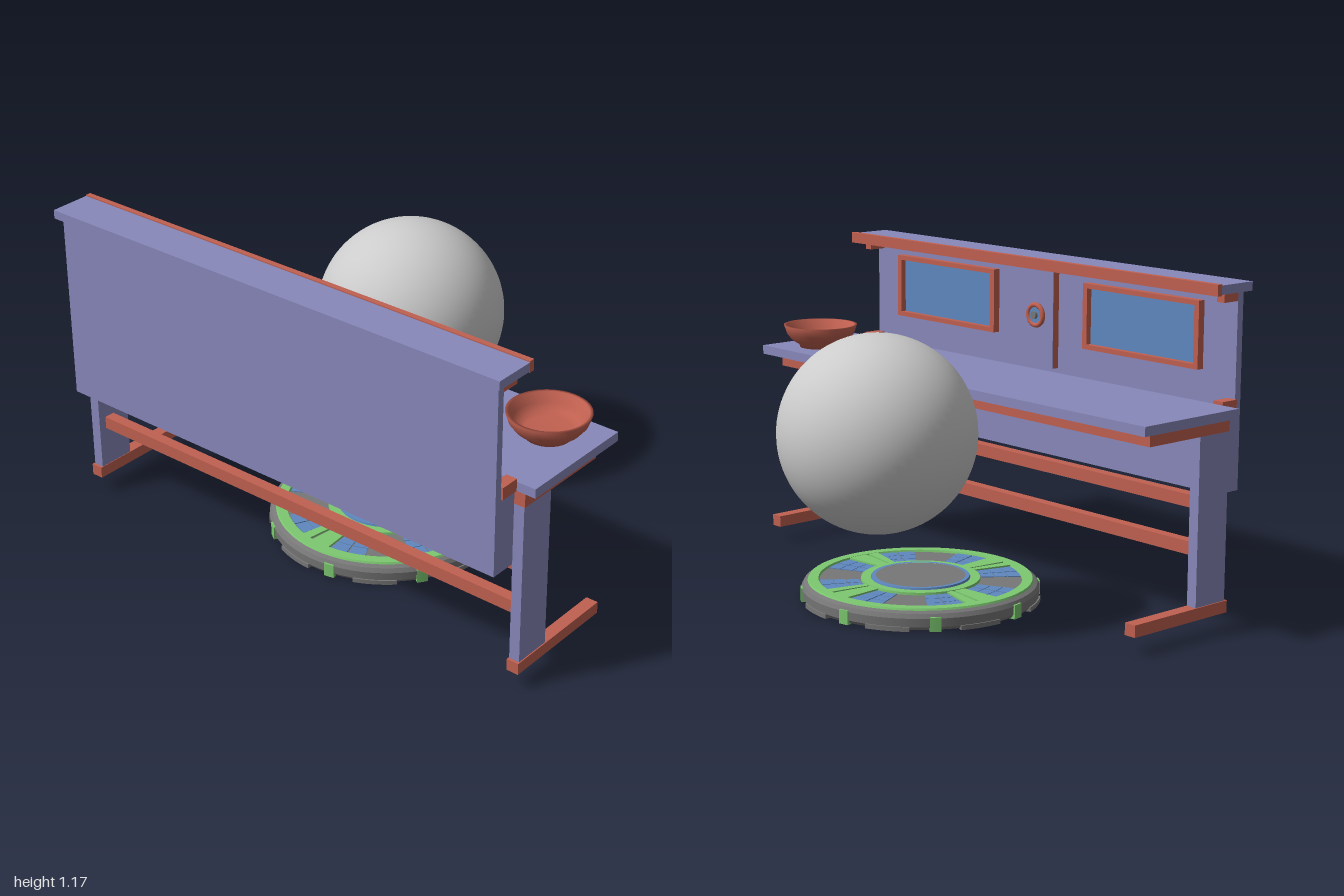
import * as THREE from 'three';

const paint = (color) => new THREE.MeshStandardMaterial({ color });

export function createModel() {
  const model = new THREE.Group();
  const purple = paint(0x8888bb), red = paint(0xc06050), blue = paint(0x5f88c0);
  const green = paint(0x7cc870), dark = paint(0x777777), grey = paint(0xcccccc);
  const bowlRed = paint(0xc06050);
  bowlRed.side = THREE.DoubleSide;

  const add = (name, geometry, material, parent = model) => {
    const mesh = new THREE.Mesh(geometry, material);
    mesh.name = name;
    parent.add(mesh);
    return mesh;
  };
  // Box given by its extents on each axis
  const box = (name, material, [x0, x1], [y0, y1], [z0, z1], parent) => {
    const mesh = add(name, new THREE.BoxGeometry(x1 - x0, y1 - y0, z1 - z0), material, parent);
    mesh.position.set((x0 + x1) / 2, (y0 + y1) / 2, (z0 + z1) / 2);
    return mesh;
  };
  // The same box at both ends of the bench
  const pair = (name, material, x, y, [z0, z1], parent) => {
    box(name, material, x, y, [z0, z1], parent);
    box(name, material, x, y, [-z1, -z0], parent);
  };

  // Counter and its supports
  const bench = new THREE.Group();
  bench.name = 'bench';
  model.add(bench);
  box('counterTop', purple, [-0.53, -0.087], [0.73, 0.763], [-1, 1], bench);
  pair('crossBeam', red, [-0.53, -0.15], [0.682, 0.73], [0.92, 0.963], bench);
  box('frontRail', red, [-0.19, -0.15], [0.682, 0.73], [-0.92, 0.92], bench);
  pair('leg', purple, [-0.53, -0.39], [0.1, 0.682], [0.922, 0.961], bench);
  pair('foot', red, [-0.54, -0.097], [0.06, 0.102], [0.92, 0.965], bench);
  box('upperStretcher', red, [-0.5, -0.46], [0.415, 0.459], [-0.922, 0.922], bench);
  box('lowerStretcher', red, [-0.5, -0.46], [0.252, 0.298], [-0.922, 0.922], bench);

  // Back wall and its cap shelf
  const back = new THREE.Group();
  back.name = 'back';
  model.add(back);
  box('backPanel', purple, [-0.626, -0.6], [0.46, 1.135], [-0.922, 0.922], back);
  box('lowerPanel', purple, [-0.6, -0.53], [0.46, 0.73], [-0.922, 0.922], back);
  box('capShelf', purple, [-0.648, -0.498], [1.135, 1.166], [-0.941, 0.941], back);
  box('capTrim', red, [-0.498, -0.478], [1.131, 1.17], [-0.941, 0.941], back);
  pair('upperBracket', red, [-0.6, -0.533], [1.103, 1.135], [0.89, 0.922], back);
  pair('lowerBracket', red, [-0.6, -0.53], [0.73, 0.774], [0.89, 0.93], back);
  box('centreBoard', red, [-0.6, -0.574], [0.763, 1.135], [-0.083, 0.083], back);
  box('centreBoardFace', purple, [-0.574, -0.572], [0.763, 1.135], [-0.083, 0.083], back);

  // Framed windows
  for (const side of [1, -1]) {
    const frame = new THREE.Shape();
    frame.moveTo(-0.273, -0.117).lineTo(0.273, -0.117).lineTo(0.273, 0.117).lineTo(-0.273, 0.117).closePath();
    const hole = new THREE.Path();
    hole.moveTo(-0.252, -0.1).lineTo(-0.252, 0.1).lineTo(0.252, 0.1).lineTo(0.252, -0.1).closePath();
    frame.holes.push(hole);
    const geometry = new THREE.ExtrudeGeometry(frame, { depth: 0.027, bevelEnabled: false }).rotateY(Math.PI / 2);
    add('windowFrame', geometry, red, back).position.set(-0.6, 0.973, side * 0.503);
    box('windowPane', blue, [-0.6, -0.594], [0.87, 1.075], [side * 0.503 - 0.255, side * 0.503 + 0.255], back);
  }

  // Round porthole on the centre board
  const porthole = add('portholeRing', new THREE.TorusGeometry(0.037, 0.009, 10, 32).rotateY(Math.PI / 2), red, back);
  porthole.position.set(-0.565, 0.95, 0);
  const glass = add('portholeGlass', new THREE.CylinderGeometry(0.034, 0.034, 0.01, 32).rotateZ(Math.PI / 2), blue, back);
  glass.position.set(-0.567, 0.95, 0);
  const stud = add('portholeStud', new THREE.CylinderGeometry(0.014, 0.014, 0.016, 16).rotateZ(Math.PI / 2), dark, back);
  stud.position.set(-0.56, 0.95, 0);

  // Bowl on the counter
  const profile = [[0, 0.763], [0.078, 0.763], [0.082, 0.774], [0.108, 0.79], [0.128, 0.815], [0.139, 0.848],
    [0.128, 0.848], [0.115, 0.815], [0.098, 0.796], [0.076, 0.785], [0, 0.785]];
  add('bowl', new THREE.LatheGeometry(profile.map(([r, y]) => new THREE.Vector2(r, y)), 48), bowlRed)
    .position.set(-0.239, 0, 0.838);

  // Ball
  add('ball', new THREE.SphereGeometry(0.336, 64, 48), grey).position.set(0.309, 0.661, -0.158);

  // Round platform
  const platform = new THREE.Group();
  platform.name = 'platform';
  platform.position.x = -0.018;
  model.add(platform);
  const lathe = (name, points, material) => {
    // Each segment is turned on its own so the edges stay sharp
    for (let i = 0; i + 1 < points.length; i++) {
      const pts = [points[i], points[i + 1]].map(([r, y]) => new THREE.Vector2(r, y));
      add(name, new THREE.LatheGeometry(pts, 64), material, platform);
    }
  };
  lathe('platformBase', [[0, 0.004], [0.41, 0.004]], green);
  lathe('platformRim', [[0.41, 0.004], [0.418, 0.015], [0.42, 0.045], [0.412, 0.06], [0.395, 0.069]], dark);
  lathe('outerRing', [[0.4, 0.064], [0.395, 0.074], [0.36, 0.074], [0.355, 0.06]], green);
  lathe('deck', [[0.36, 0.066], [0, 0.066]], dark);
  lathe('innerRing', [[0.212, 0.06], [0.21, 0.075], [0.176, 0.075]], green);
  lathe('centreRim', [[0.176, 0.066], [0.172, 0.081], [0.158, 0.081]], blue);
  lathe('centreDisc', [[0.16, 0.079], [0, 0.079]], dark);

  // Flat sector plate between two radii and two angles in degrees
  const sector = (name, material, r0, r1, a0, a1, top, depth) => {
    const rad = Math.PI / 180;
    const shape = new THREE.Shape();
    shape.absarc(0, 0, r1, a0 * rad, a1 * rad, false);
    shape.absarc(0, 0, r0, a1 * rad, a0 * rad, true);
    const geometry = new THREE.ExtrudeGeometry(shape, { depth, bevelEnabled: false, curveSegments: 10 });
    add(name, geometry.rotateX(Math.PI / 2), material, platform).position.y = top;
  };
  for (let i = 0; i < 4; i++) {
    const a = 50 + i * 90;
    // Spoke split by a narrow seam
    sector('spoke', green, 0.2, 0.37, a + 35, a + 47, 0.073, 0.01);
    sector('spoke', green, 0.2, 0.37, a + 49, a + 55, 0.073, 0.01);
    // Blue tiles on both sides of a plain middle
    for (const start of [-34, -23, 13, 24]) {
      for (let k = 0; k < 3; k++) {
        const r = 0.216 + k * 0.047;
        sector('deckTile', blue, r, r + 0.044, a + start, a + start + 10, 0.069, 0.006);
      }
    }
  }
  // Clips around the rim
  for (let i = 0; i < 8; i++) {
    const a = 34 + i * 45;
    sector('rimClip', green, 0.39, 0.424, a - 2.6, a + 2.6, 0.05, 0.05);
    sector('rimBlock', dark, 0.39, 0.423, a + 12, a + 33, 0.016, 0.016);
  }
  return model;
}
